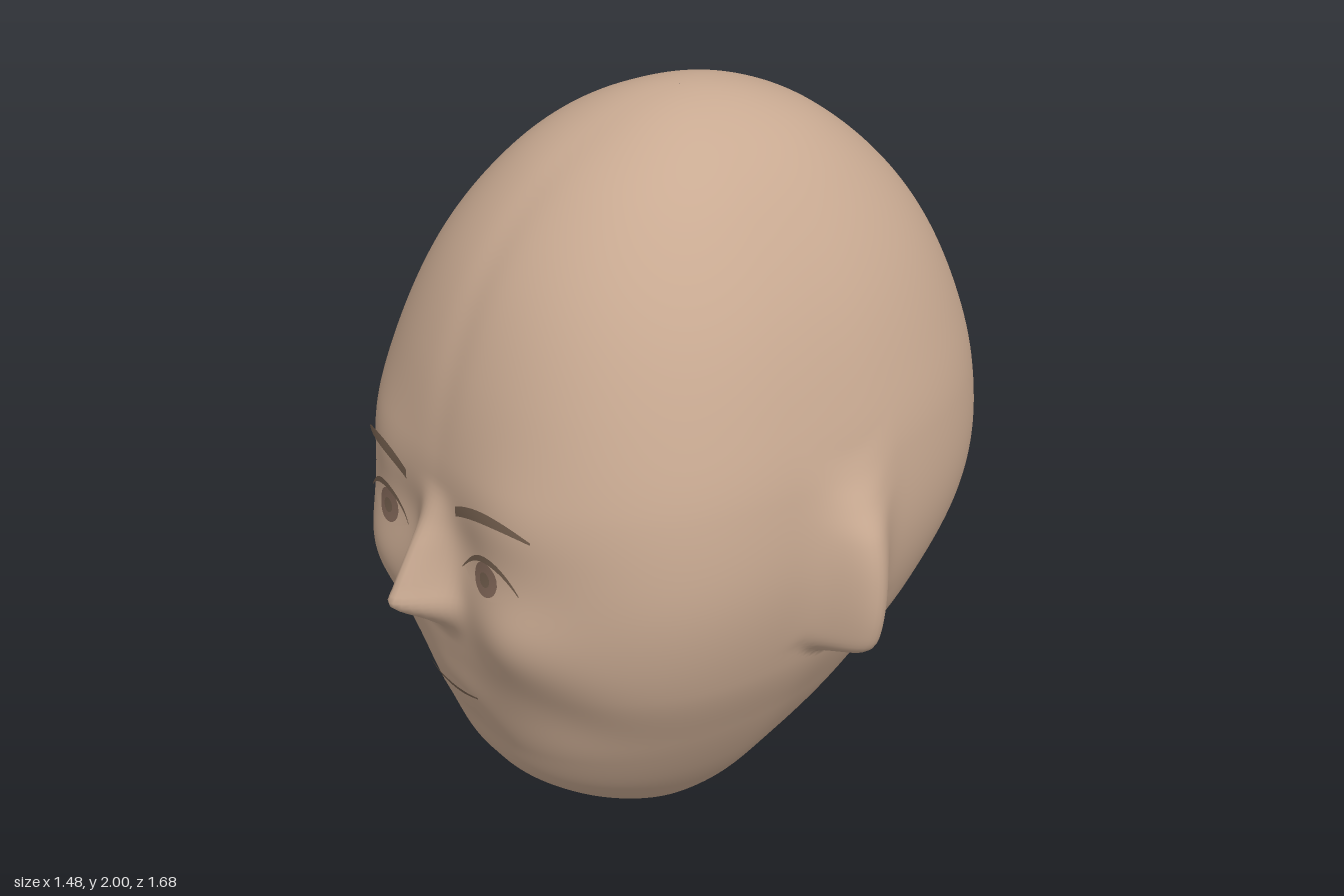
import * as THREE from 'three';

const skin = new THREE.MeshStandardMaterial({ color: 0xc9aa92 });
skin.name = 'skin';
const hair = new THREE.MeshStandardMaterial({ color: 0x75604f, side: THREE.DoubleSide });
hair.name = 'brow brown';
const irisBrown = new THREE.MeshStandardMaterial({ color: 0x84695a, side: THREE.DoubleSide });
irisBrown.name = 'iris brown';

// Height to a pole-friendly parameter, so that the crown and chin stay round
const param = (y) => Math.acos(THREE.MathUtils.clamp(1 - y, -1, 1)) / Math.PI;

// Smooth curve through [height, value] pairs
function profile(pairs) {
  const p = pairs.map(([y, v]) => [param(y), v]);
  const slope = (i) => {
    const a = p[Math.max(i - 1, 0)], b = p[Math.min(i + 1, p.length - 1)];
    return (b[1] - a[1]) / (b[0] - a[0]);
  };
  return (y) => {
    const t = param(y);
    let i = 0;
    while (i < p.length - 2 && t > p[i + 1][0]) i++;
    const h = p[i + 1][0] - p[i][0], s = (t - p[i][0]) / h, s2 = s * s, s3 = s2 * s;
    return (2 * s3 - 3 * s2 + 1) * p[i][1] + (s3 - 2 * s2 + s) * h * slope(i)
      + (3 * s2 - 2 * s3) * p[i + 1][1] + (s3 - s2) * h * slope(i + 1);
  };
}

// Half width, front depth, back depth and widest line of the skull by height
const width = profile([[0, 0], [0.03, 0.1], [0.1, 0.2], [0.2, 0.295], [0.33, 0.39], [0.5, 0.49],
  [0.7, 0.585], [0.95, 0.64], [1.2, 0.63], [1.4, 0.58], [1.6, 0.5], [1.8, 0.37], [1.9, 0.27], [1.97, 0.148], [2, 0]]);
const front = profile([[0, 0.02], [0.03, 0.14], [0.1, 0.29], [0.2, 0.445], [0.3, 0.55], [0.43, 0.61], [0.55, 0.645],
  [0.7, 0.685], [0.85, 0.695], [1.05, 0.695], [1.23, 0.688], [1.45, 0.635], [1.66, 0.535], [1.84, 0.375], [1.95, 0.195], [2, -0.03]]);
const back = profile([[0, 0.02], [0.01, -0.03], [0.07, -0.13], [0.23, -0.29], [0.47, -0.5], [0.7, -0.69], [0.89, -0.81],
  [1.08, -0.84], [1.34, -0.793], [1.63, -0.655], [1.88, -0.405], [1.96, -0.245], [2, -0.03]]);
const middle = profile([[0, 0.02], [0.3, 0.09], [1, 0.1], [1.6, 0.05], [2, -0.03]]);
const squareness = (y) => 2.2 + 0.4 * Math.exp(-(((y - 0.9) / 0.45) ** 2));

// Nose ridge height, and how far the ears stand out
const nose = profile([[0, 0], [0.72, 0], [0.76, 0.015], [0.8, 0.065], [0.86, 0.145], [0.9, 0.132],
  [1, 0.08], [1.08, 0.032], [1.16, 0], [2, 0]]);
const earReach = profile([[0, 0], [0.69, 0], [0.715, 0.07], [0.74, 0.115], [0.8, 0.125], [0.93, 0.108],
  [1.05, 0.08], [1.13, 0.042], [1.2, 0.012], [1.27, 0], [2, 0]]);

const blob = (x, y, cx, cy, rx, ry) => Math.exp(-(((x - cx) / rx) ** 2) - ((y - cy) / ry) ** 2);

// Relief of the face, pushed along z
function relief(x, y) {
  const a = Math.abs(x);
  const noseWidth = 0.052 + 0.014 * blob(0, y, 0, 0.84, 1, 0.08);
  return nose(y) * Math.exp(-((a / noseWidth) ** 2))
    + 0.01 * blob(a, y, 0.06, 0.83, 0.035, 0.04)       // nostrils
    + 0.042 * blob(a, y, 0.29, 0.84, 0.14, 0.13)       // cheeks
    + 0.018 * blob(a, y, 0.28, 1.14, 0.15, 0.13)       // brow ridge
    - 0.008 * blob(a, y, 0.13, 1.02, 0.07, 0.08)       // eye sockets
    - 0.014 * blob(a, y, 0.36, 0.62, 0.12, 0.12)       // hollows below the cheeks
    + 0.015 * blob(a, y, 0, 0.57, 0.13, 0.08)          // lips
    - 0.007 * blob(a, y, 0, 0.42, 0.14, 0.06);         // chin crease
}

function faceZ(x, y) {
  const n = squareness(y), u = Math.min(Math.abs(x) / width(y), 1);
  return middle(y) + (front(y) - middle(y)) * (1 - u ** n) ** (1 / n) + relief(x, y);
}

// Ears grow out of the sides, with a rounded lobe below
function earPush(y, z) {
  const d = z + 0.085;
  return earReach(y - 3 * Math.min(d * d, 0.02)) * Math.exp(-((d / 0.088) ** 2));
}

// Closed skin of rings around the vertical axis
function headGeometry(rows = 220, cols = 300) {
  const pos = [], index = [];
  for (let i = 0; i <= rows; i++) {
    const y = 1 - Math.cos((Math.PI * i) / rows);
    const w = Math.max(width(y), 1e-4), zc = middle(y), n = squareness(y);
    for (let j = 0; j < cols; j++) {
      const a = (2 * Math.PI * j) / cols, s = Math.sin(a), c = Math.cos(a);
      const d = Math.max(c > 0 ? front(y) - zc : zc - back(y), 1e-4);
      const m = c > 0 ? n : 2.2;
      const r = (Math.abs(s / w) ** m + Math.abs(c / d) ** m) ** (-1 / m);
      let x = r * s, z = r * c;
      if (c > 0) z += relief(x, y) * THREE.MathUtils.smoothstep(z / d, 0.15, 0.6);
      z += zc;
      x += Math.sign(x) * earPush(y, z) * Math.min(1, Math.abs(x) / 0.4);
      pos.push(x, y, z);
      if (i < rows) {
        const k = (j + 1) % cols, p = i * cols, q = p + cols;
        index.push(p + j, p + k, q + k, p + j, q + k, q + j);
      }
    }
  }
  const g = new THREE.BufferGeometry();
  g.setAttribute('position', new THREE.Float32BufferAttribute(pos, 3));
  g.setIndex(index);
  g.computeVertexNormals();
  return g;
}

// Thin plate lying on the face between a lower and an upper edge
function plate(name, material, x0, x1, low, high, lift) {
  const g = new THREE.PlaneGeometry(1, 1, 28, 5), p = g.attributes.position;
  for (let i = 0; i < p.count; i++) {
    const u = p.getX(i) + 0.5, v = p.getY(i) + 0.5;
    const x = x0 + (x1 - x0) * u, y = low(u) + (high(u) - low(u)) * v;
    p.setXYZ(i, x, y, faceZ(x, y) + lift);
  }
  g.computeVertexNormals();
  const mesh = new THREE.Mesh(g, material);
  mesh.name = name;
  return mesh;
}

const arc = (u) => 4 * u * (1 - u);
const round = (u) => Math.sqrt(Math.max(arc(u), 0));

function disc(name, material, x, y, r, lift) {
  return plate(name, material, x - r, x + r, (u) => y - r * round(u), (u) => y + r * round(u), lift);
}

export function createModel() {
  const model = new THREE.Group();
  model.name = 'head';

  const skull = new THREE.Mesh(headGeometry(), skin);
  skull.name = 'skull, face and ears';
  model.add(skull);

  for (const side of [-1, 1]) {
    const word = side > 0 ? 'left' : 'right';
    // edges run from the inner corner (0) to the outer corner (1)
    const from = (f) => (side > 0 ? f : (u) => f(1 - u));
    const sided = (name, mat, inner, outer, low, high, lift) => plate(`${word} ${name}`, mat,
      side > 0 ? inner : -outer, side > 0 ? outer : -inner, from(low), from(high), lift);

    // Eye: almond, iris, pupil and upper lash line
    const lid = (u) => 0.983 + 0.055 * arc(u) + 0.008 * u;
    model.add(
      sided('eye', skin, 0.125, 0.32, (u) => 0.983 - 0.043 * arc(u) + 0.008 * u, lid, 0.008),
      disc(`${word} iris`, irisBrown, side * 0.217, 0.994, 0.044, 0.011),
      disc(`${word} pupil`, hair, side * 0.217, 0.994, 0.019, 0.013),
      sided('upper lash', hair, 0.122, 0.328, lid, (u) => lid(u) + 0.004 + 0.014 * arc(u), 0.015),
      sided('eyebrow', hair, 0.11, 0.355,
        (u) => 1.12 + 0.022 * u + 0.021 * arc(u),
        (u) => 1.147 + 0.001 * u + 0.032 * arc(u), 0.016),
    );
  }

  // Mouth
  model.add(
    plate('upper lip', skin, -0.075, 0.075, () => 0.565, (u) => 0.565 + 0.025 * arc(u), 0.008),
    plate('lower lip', skin, -0.07, 0.07, (u) => 0.535 - 0.03 * round(u), (u) => 0.535 + 0.025 * round(u), 0.009),
    plate('mouth line', hair, -0.105, 0.105, (u) => 0.573 - 0.013 * arc(u), (u) => 0.578 - 0.007 * arc(u), 0.012),
  );
  return model;
}
